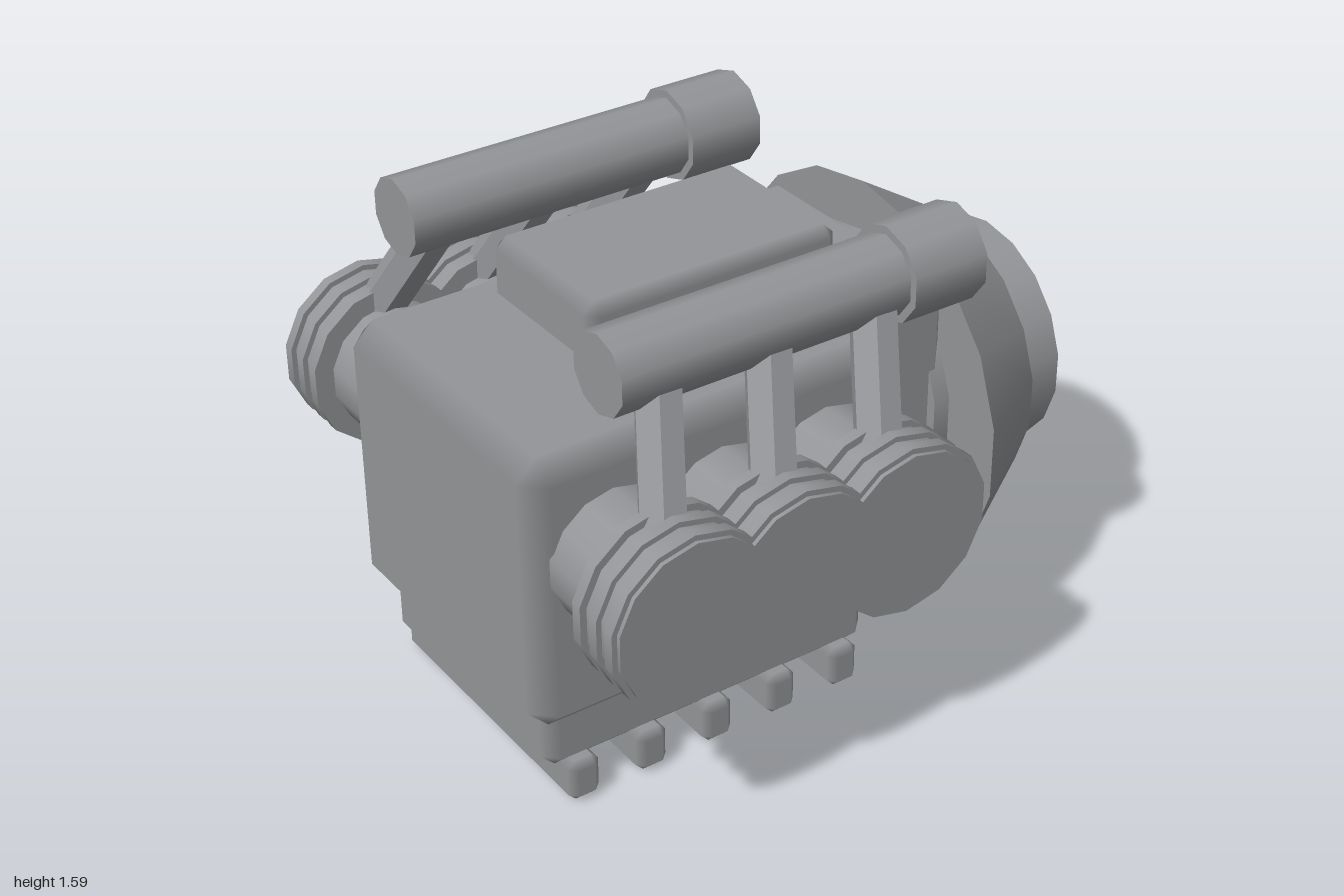
import * as THREE from 'three';
import { ConvexGeometry } from 'three/addons/geometries/ConvexGeometry.js';

const castMetal = new THREE.MeshStandardMaterial({ color: 0x949598 });

export function createModel() {
  const model = new THREE.Group();
  model.name = 'engine';

  function add(name, geometry, parent = model) {
    const mesh = new THREE.Mesh(geometry, castMetal);
    mesh.name = name;
    parent.add(mesh);
    return mesh;
  }

  // Box between two corners with chamfered edges; normals blend across the chamfers
  function chamferBox(name, min, max, c) {
    const lo = new THREE.Vector3(...min), hi = new THREE.Vector3(...max);
    const half = hi.clone().sub(lo).multiplyScalar(0.5).toArray();
    const points = [];
    for (let axis = 0; axis < 3; axis++) {
      for (const sx of [-1, 1]) for (const sy of [-1, 1]) for (const sz of [-1, 1]) {
        const p = [sx, sy, sz].map((s, i) => s * (half[i] - (i === axis ? 0 : c)));
        points.push(new THREE.Vector3(...p));
      }
    }
    const geometry = new ConvexGeometry(points);
    const pos = geometry.attributes.position, normal = geometry.attributes.normal;
    for (let i = 0; i < pos.count; i++) {
      const p = [pos.getX(i), pos.getY(i), pos.getZ(i)];
      const n = p.map((v, k) => (Math.abs(v) > half[k] - c / 2 ? Math.sign(v) : 0));
      normal.setXYZ(i, ...n);
    }
    add(name, geometry).position.copy(lo).add(hi).multiplyScalar(0.5);
  }

  // Round part along z, with a vertex at the top; z0 is the front end
  function roundZ(name, rFront, rBack, z0, z1, x, y, sides, parent) {
    const geometry = new THREE.CylinderGeometry(rBack, rFront, z0 - z1, sides);
    geometry.rotateX(-Math.PI / 2);
    add(name, geometry, parent).position.set(x, y, (z0 + z1) / 2);
  }

  // Round part along x, with a vertex at the top
  function roundX(name, r, x0, x1, y, z, parent) {
    const geometry = new THREE.CylinderGeometry(r, r, x1 - x0, 14);
    geometry.rotateX(-Math.PI / 2).rotateY(Math.PI / 2);
    add(name, geometry, parent).position.set((x0 + x1) / 2, y, z);
  }

  // Flat-sided hexagonal bar between two points
  function hexBar(name, r, from, to, parent) {
    const direction = to.clone().sub(from);
    const geometry = new THREE.CylinderGeometry(r, r, direction.length(), 6).toNonIndexed();
    geometry.computeVertexNormals();
    const bar = add(name, geometry, parent);
    bar.position.copy(from).add(to).multiplyScalar(0.5);
    bar.quaternion.setFromUnitVectors(new THREE.Vector3(0, 1, 0), direction.normalize());
  }

  // Block, sump, top cover and rear housing
  chamferBox('block', [-0.515, 0.3, -0.285], [0.515, 1.2, 0.995], 0.07);
  chamferBox('sump', [-0.445, 0.11, -0.215], [0.445, 0.42, 0.93], 0.045);
  chamferBox('topCover', [-0.265, 1.255, -0.215], [0.265, 1.465, 0.635], 0.037);
  chamferBox('rearHousing', [-0.41, 0.54, -0.5], [0.41, 1.25, -0.185], 0.033);

  // Cooling ribs under the sump
  for (let i = 0; i < 5; i++) {
    const z = 0.823 - i * 0.233;
    chamferBox('sumpRib', [-0.48, 0, z - 0.052], [0.48, 0.14, z + 0.052], 0.025);
  }

  // Bell housing and output drum
  roundZ('flywheelPlate', 0.45, 0.45, -0.445, -0.51, 0, 0.8, 18);
  roundZ('bellHousing', 0.66, 0.462, -0.5, -0.82, 0, 0.752, 18);
  roundZ('outputDrum', 0.374, 0.374, -0.8, -1, 0, 0.752, 18);

  // Each bank: three finned cylinders, intake runners and a manifold rail
  for (const side of [1, -1]) {
    const bank = new THREE.Group();
    bank.name = side > 0 ? 'leftBank' : 'rightBank';
    model.add(bank);

    for (let i = 0; i < 3; i++) {
      const z = 0.733 - i * 0.358, y = 0.857;
      const roundPart = (name, r, x0, x1) =>
        roundX(name, r, side > 0 ? x0 : -x1, side > 0 ? x1 : -x0, y, z, bank);
      roundPart('barrel', 0.207, 0.4, 0.77);
      roundPart('cylinderHead', 0.253, 0.76, 0.918);
      for (const x of [0.735, 0.813, 0.887]) roundPart('coolingFin', 0.27, x - 0.018, x + 0.018);

      hexBar('intakeRunner', 0.072,
        new THREE.Vector3(side * 0.78, 1.01, z + 0.015),
        new THREE.Vector3(side * 0.54, 1.44, z - 0.13), bank);
    }

    roundZ('manifoldRail', 0.122, 0.122, 0.785, -0.2, side * 0.537, 1.447, 10, bank);
    roundZ('railEndCap', 0.147, 0.147, -0.16, -0.41, side * 0.537, 1.447, 10, bank);
  }

  return model;
}
